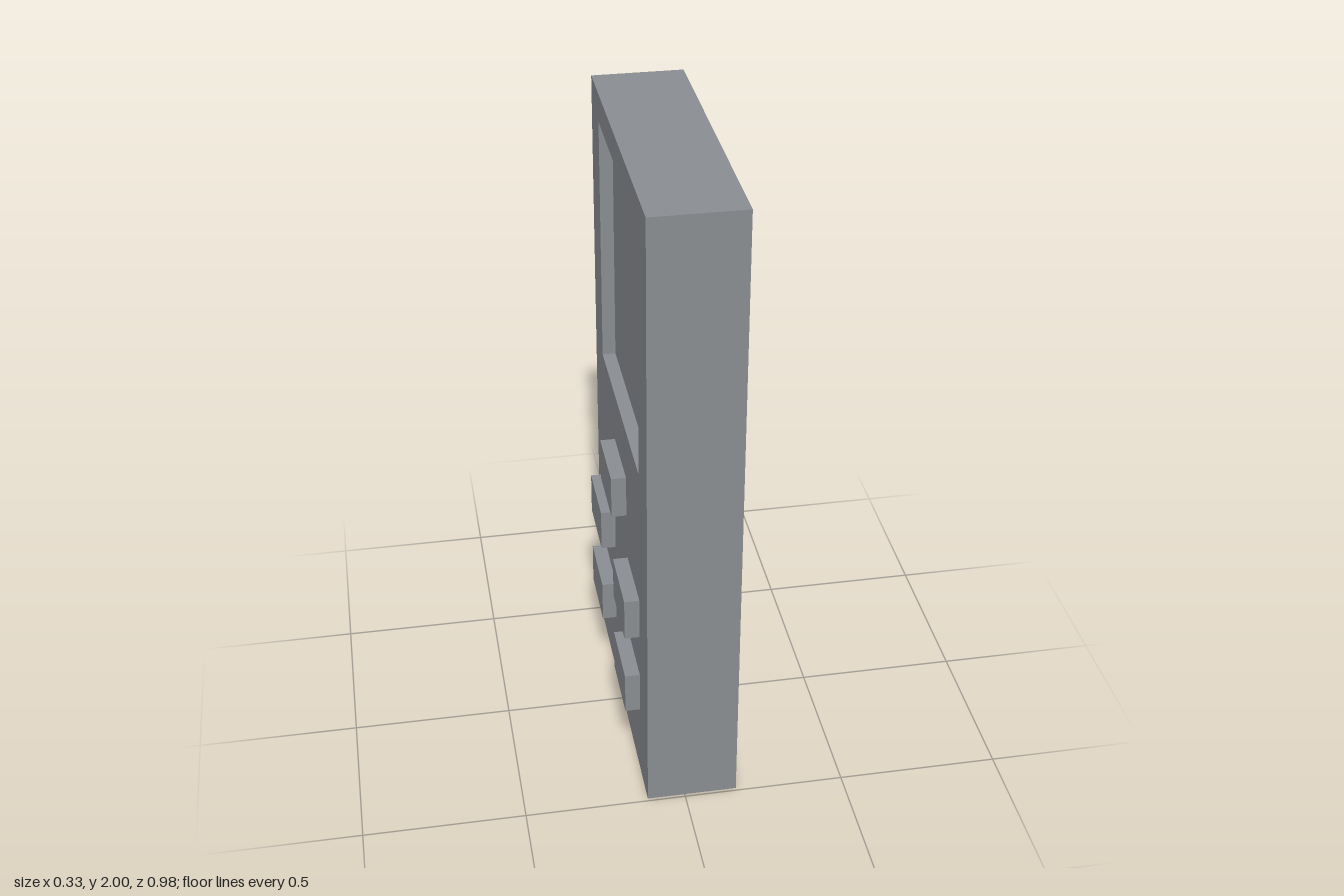
import * as THREE from 'three';

const grey = new THREE.MeshStandardMaterial({ color: 0x8a8d91 });
grey.name = 'grey';

const FACE = -0.117;   // x of the keypad face
const BACK = 0.163;    // x of the plain side
const HALF_Z = 0.49;
const SCREEN = { z: 0.351, bottom: 1.12, top: 1.91, depth: 0.041 };

// Box between two corners; an open one loses its -x wall, an inward one shows its inside
function box(x0, x1, y0, y1, z0, z1, { open = false, inward = false } = {}) {
  const g = new THREE.BoxGeometry(x1 - x0, y1 - y0, z1 - z0);
  g.translate((x0 + x1) / 2, (y0 + y1) / 2, (z0 + z1) / 2);
  let index = Array.from(g.index.array);
  if (open) index.splice(6, 6);
  if (inward) index.reverse();
  g.clearGroups();
  g.setIndex(index);
  if (inward) g.computeVertexNormals();
  return g;
}

// Closed rectangle path, z across and y up
function rectangle(path, halfZ, y0, y1) {
  path.moveTo(-halfZ, y0);
  path.lineTo(halfZ, y0);
  path.lineTo(halfZ, y1);
  path.lineTo(-halfZ, y1);
  path.closePath();
  return path;
}

export function createModel() {
  const model = new THREE.Group();
  model.name = 'handheldDevice';
  const add = (name, geometry) => {
    const mesh = new THREE.Mesh(geometry, grey);
    mesh.name = name;
    model.add(mesh);
  };

  // Case: five outer walls
  add('case', box(FACE, BACK, 0, 2, -HALF_Z, HALF_Z, { open: true }));

  // Keypad face with the screen cut out, turned towards -x
  const panel = rectangle(new THREE.Shape(), HALF_Z, 0, 2);
  panel.holes.push(rectangle(new THREE.Path(), SCREEN.z, SCREEN.bottom, SCREEN.top));
  add('facePanel', new THREE.ShapeGeometry(panel).rotateY(-Math.PI / 2).translate(FACE, 0, 0));

  // Sunken screen: walls and floor seen from inside
  add('screenRecess', box(FACE, FACE + SCREEN.depth, SCREEN.bottom, SCREEN.top,
    -SCREEN.z, SCREEN.z, { open: true, inward: true }));

  // Buttons: one above, two pairs below, as [y, z] centres
  const buttons = [[0.884, 0], [0.598, -0.237], [0.598, 0.237], [0.312, -0.237], [0.312, 0.237]];
  for (const [y, z] of buttons) {
    add('button', box(-0.163, FACE, y - 0.069, y + 0.069, z - 0.111, z + 0.111));
  }
  return model;
}
